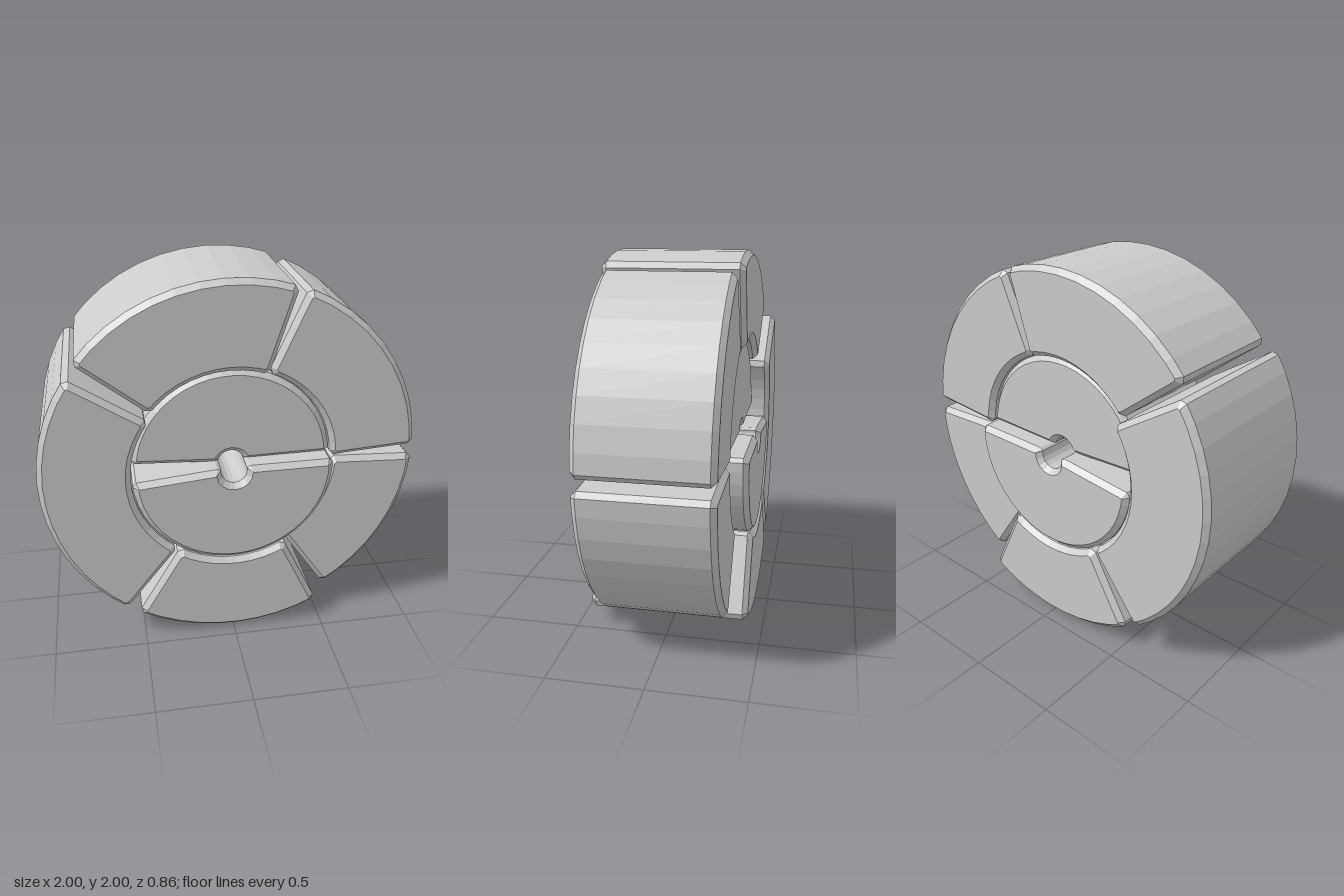
import * as THREE from 'three';

const BEVEL = 0.028;
const material = new THREE.MeshStandardMaterial({ color: 0xcccccc, flatShading: true });

const polar = (r, deg) => {
  const a = THREE.MathUtils.degToRad(deg);
  return new THREE.Vector2(r * Math.cos(a), r * Math.sin(a));
};

// points along an arc, both ends included
function arc(r, from, to, steps) {
  return Array.from({ length: steps + 1 }, (_, i) => polar(r, from + (to - from) * i / steps));
}

// cut the sharp corners of an outline, leaving the shallow arc facets alone
function cutCorners(points, size) {
  const n = points.length;
  return points.flatMap((p, i) => {
    const toPrev = points[(i + n - 1) % n].clone().sub(p);
    const toNext = points[(i + 1) % n].clone().sub(p);
    const cos = toPrev.clone().normalize().dot(toNext.clone().normalize());
    if (cos < -0.7) return [p];
    return [toPrev, toNext].map((d) => p.clone().add(d.setLength(Math.min(size, d.length() * 0.45))));
  });
}

// a stone slab, chamfered on both faces and centred on z = 0
function stone(name, outline, halfDepth) {
  const geometry = new THREE.ExtrudeGeometry(new THREE.Shape(outline), {
    depth: 2 * (halfDepth - BEVEL),
    bevelEnabled: true,
    bevelSegments: 1,
    bevelSize: BEVEL,
    bevelThickness: BEVEL,
    bevelOffset: -BEVEL,
  });
  geometry.translate(0, 0, -(halfDepth - BEVEL));
  const mesh = new THREE.Mesh(geometry, material);
  mesh.name = name;
  return mesh;
}

export function createModel() {
  const model = new THREE.Group();
  model.name = 'stoneWheel';
  const wheel = new THREE.Group();
  wheel.name = 'wheel';
  wheel.position.y = 1;
  model.add(wheel);

  // rim blocks: outer start/end angles, inner start/end angles, half depth
  const rim = [
    ['upperLeftRimBlock', 2, 67.9, 0.3, 69.6, 0.338],
    ['topRimBlock', 71, 141.8, 69.9, 141.9, 0.365],
    ['rightRimBlock', 145.2, 233.7, 143.6, 235.3, 0.43],
    ['bottomRimBlock', 238, 298.5, 236.6, 301.1, 0.43],
    ['lowerLeftRimBlock', 302.8, 358.6, 301.6, 359.6, 0.338],
  ];
  for (const [name, o1, o2, i1, i2, half] of rim) {
    const steps = Math.round((o2 - o1) / 7);
    const outline = [...arc(1, o1, o2, steps), ...arc(0.535, i2, i1, steps)];
    wheel.add(stone(name, cutCorners(outline, 0.026), half));
  }

  // hub halves, each with half of the axle hole
  const hubR = 0.53, holeR = 0.07;
  const upperHalf = [...arc(hubR, 2.5, 176.5, 24), ...arc(holeR, 172, 12, 8)];
  wheel.add(stone('upperHubHalf', cutCorners(upperHalf, 0.02), 0.325));
  const lowerHalf = [...arc(hubR, 183, 363, 24), ...arc(holeR, 380, 165, 10)];
  wheel.add(stone('lowerHubHalf', cutCorners(lowerHalf, 0.02), 0.425));

  return model;
}
